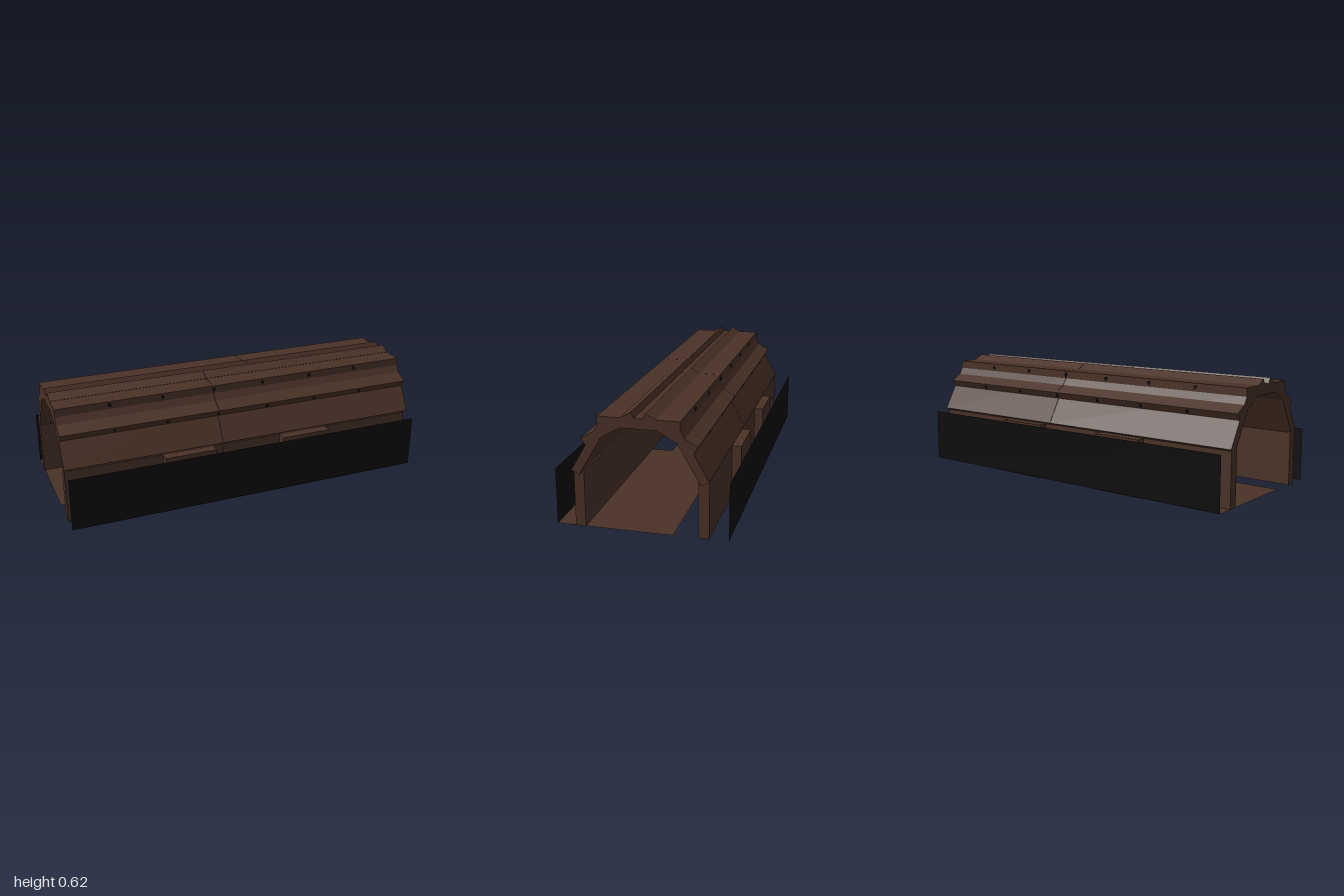
import * as THREE from 'three';

const brown = new THREE.MeshStandardMaterial({ color: 0x4a3227, side: THREE.DoubleSide });
brown.name = 'rustBrown';
const black = new THREE.MeshStandardMaterial({ color: 0x0c0c0c, side: THREE.DoubleSide });
black.name = 'black';

// Box given by its min and max corners
function box(name, mat, x0, x1, y0, y1, z0, z1) {
  const m = new THREE.Mesh(new THREE.BoxGeometry(x1 - x0, y1 - y0, z1 - z0), mat);
  m.name = name;
  m.position.set((x0 + x1) / 2, (y0 + y1) / 2, (z0 + z1) / 2);
  return m;
}

const SLAB = 0.283, SEAM = -0.145;

// Slab running along x; its outer lower edge is at (y, z) and it rises inwards at the given angle
function slab(name, y, z, angle, thick) {
  const g = new THREE.Group();
  g.name = name;
  g.add(box(name + 'Short', brown, -1, SEAM - 0.001, -thick, 0, -SLAB, 0));
  g.add(box(name + 'Long', brown, SEAM + 0.001, 1, -thick, 0, -SLAB, 0));
  g.position.set(0, y, z);
  g.rotation.x = angle;
  return g;
}

// One half of the vault
function roofHalf(topY) {
  const g = new THREE.Group();
  g.name = 'roofHalf';
  g.add(slab('steepSlab', 0.311, 0.334, Math.PI / 3, 0.045));
  g.add(slab('slopedSlab', 0.475, 0.28, Math.PI / 6, 0.04));
  g.add(slab('crownSlab', topY, 0.198, 0, 0.049));
  // small dark fasteners along the slab joints
  for (let i = 0; i < 6; i++) {
    const x = -0.715 + i * 0.285;
    g.add(box('crownFastener', black, x - 0.008, x + 0.008, 0.558, 0.576, 0.194, 0.201));
    const low = box('slopeFastener', black, x - 0.006, x + 0.006, -0.009, 0.009, -0.003, 0.003);
    low.position.set(x, 0.457, 0.27);
    low.rotation.x = Math.PI / 6;
    g.add(low);
  }
  return g;
}

// Bracketed lamp on the inner wall face
function lamp(x) {
  const g = new THREE.Group();
  g.name = 'wallLamp';
  g.add(box('mountPlate', black, -0.015, 0.015, 0.145, 0.178, 0.274, 0.281));
  const arm = box('arm', black, -0.004, 0.004, -0.003, 0.003, -0.02, 0.02);
  arm.position.set(0, 0.162, 0.258);
  arm.rotation.x = 0.1;
  const post = box('post', black, -0.004, 0.004, -0.022, 0.022, -0.004, 0.004);
  post.position.set(0, 0.17, 0.238);
  post.rotation.x = -0.15;
  const head = box('head', black, -0.018, 0.018, -0.012, 0.012, -0.01, 0.01);
  head.position.set(0, 0.198, 0.235);
  g.add(arm, post, head);
  g.position.x = x;
  return g;
}

// Wall, floor half, outer panel and buttresses of one side, centred on its own x
function sideHalf() {
  const g = new THREE.Group();
  g.name = 'sideHalf';
  g.add(box('wallLong', brown, -0.135, 0.99, 0.018, 0.302, 0.279, 0.33));
  g.add(box('wallShort', brown, -0.99, -0.137, 0.018, 0.302, 0.279, 0.33));

  const floor = new THREE.Mesh(new THREE.PlaneGeometry(1.13, 0.58), brown);
  floor.name = 'floor';
  floor.rotation.x = -Math.PI / 2;
  floor.position.set(0.425, 0.0185, 0.135);
  g.add(floor);

  const panel = new THREE.Mesh(new THREE.PlaneGeometry(1.98, 0.284), black);
  panel.name = 'outerPanel';
  panel.position.set(0, 0.16, 0.424);
  g.add(panel);

  for (const x of [-0.33, 0.34]) {
    g.add(box('buttress', brown, x - 0.14, x + 0.14, 0.016, 0.301, 0.329, 0.379));
    g.add(box('foot', brown, x - 0.14, x + 0.14, 0, 0.018, 0.325, 0.376));
  }
  // dark floor marks
  for (const x of [-0.128, 0.142])
    g.add(box('floorMark', black, x - 0.008, x + 0.008, 0.016, 0.021, 0.35, 0.4));
  g.add(lamp(-0.4), lamp(-0.19));
  return g;
}

export function createModel() {
  const model = new THREE.Group();
  model.name = 'vaultedTunnel';

  const backRoof = roofHalf(0.589);
  backRoof.rotation.y = Math.PI;
  model.add(roofHalf(0.587), backRoof);

  const front = sideHalf();
  const back = sideHalf();
  back.rotation.y = Math.PI;
  // keep the two overlapping floors from coinciding
  back.position.y = 0.0008;
  front.position.x = back.position.x = -0.01;
  model.add(front, back);

  // small box on the inside of the back wall
  model.add(box('wallBox', brown, 0.25, 0.32, 0.18, 0.238, -0.25, -0.215));
  return model;
}
